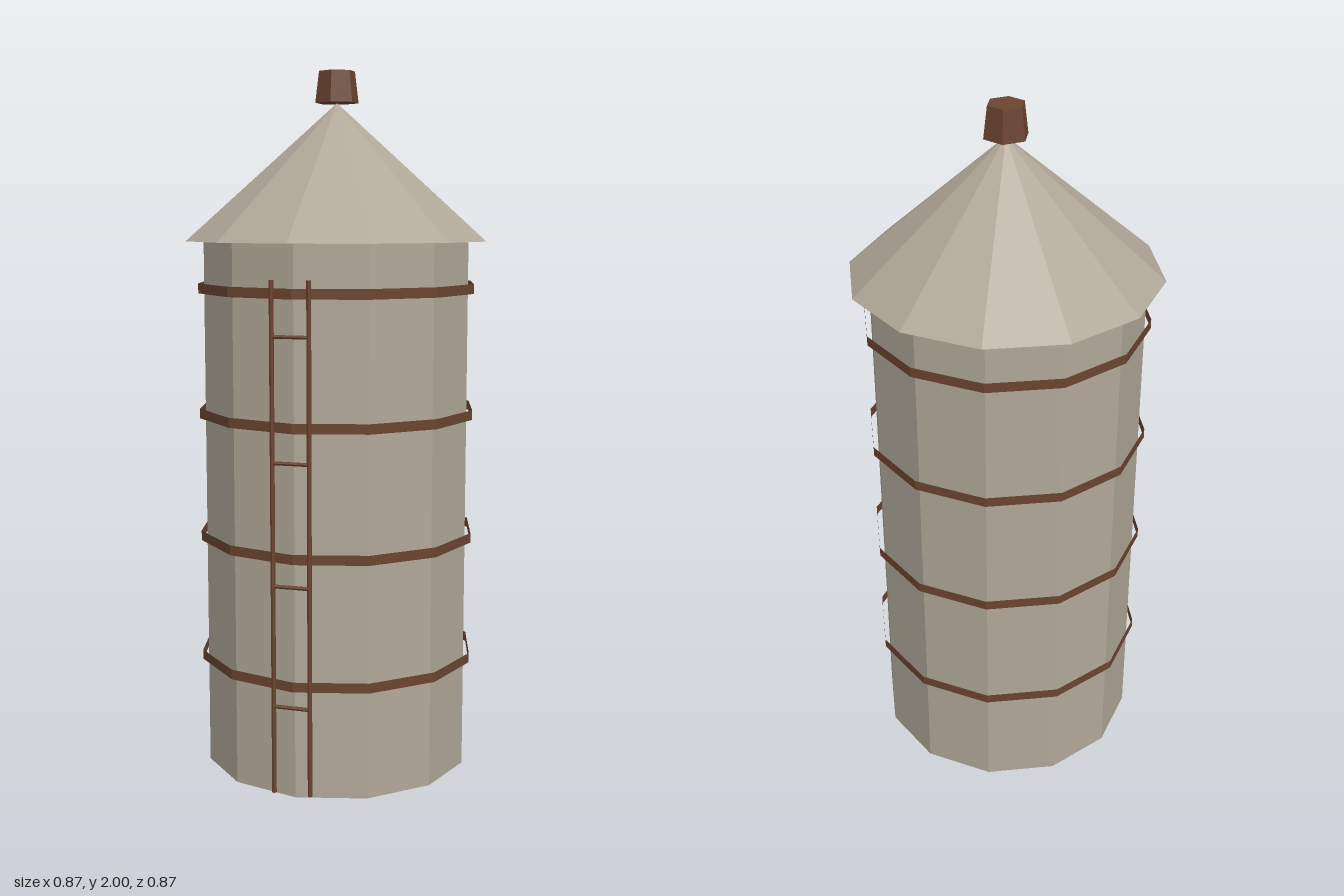
import * as THREE from 'three';

export function createModel() {
  const model = new THREE.Group();
  model.name = 'silo';
  const stone = new THREE.MeshStandardMaterial({ color: 0xb0a898, flatShading: true });
  const rust = new THREE.MeshStandardMaterial({ color: 0x6b4430, flatShading: true });
  const rustSheet = rust.clone();
  rustSheet.side = THREE.DoubleSide;

  const add = (name, geometry, material, x, y, z, parent = model) => {
    const mesh = new THREE.Mesh(geometry, material);
    mesh.name = name;
    mesh.position.set(x, y, z);
    parent.add(mesh);
    return mesh;
  };

  // Twelve-sided tower and overhanging conical roof
  const wallTop = 1.525, apex = 1.912, sides = 12;
  add('tower', new THREE.CylinderGeometry(0.385, 0.385, wallTop, sides), stone, 0, wallTop / 2, 0);
  add('roof', new THREE.ConeGeometry(0.436, apex - wallTop, sides), stone, 0, (wallTop + apex) / 2, 0);

  // Hexagonal vent cap on the roof tip
  add('ventCap', new THREE.CylinderGeometry(0.052, 0.063, 2 - apex, 6), rust, 0, (2 + apex) / 2, 0);

  // Thin open hoops around the tower
  const hoop = new THREE.CylinderGeometry(0.402, 0.402, 0.028, sides, 1, true);
  for (let i = 0; i < 4; i++) add('hoop', hoop, rustSheet, 0, 0.322 + i * 0.357, 0);

  // Ladder up the front
  const ladder = new THREE.Group();
  ladder.name = 'ladder';
  model.add(ladder);
  const rail = new THREE.CylinderGeometry(0.0065, 0.0065, 1.41, 6);
  for (const s of [-1, 1]) add('ladderRail', rail, rust, s * 0.052, 0.725, 0.412, ladder);
  const rung = new THREE.CylinderGeometry(0.0055, 0.0055, 0.104, 6);
  for (let i = 0; i < 4; i++) {
    add('ladderRung', rung, rust, 0, 0.267 + i * 0.338, 0.412, ladder).rotation.z = Math.PI / 2;
  }
  return model;
}
